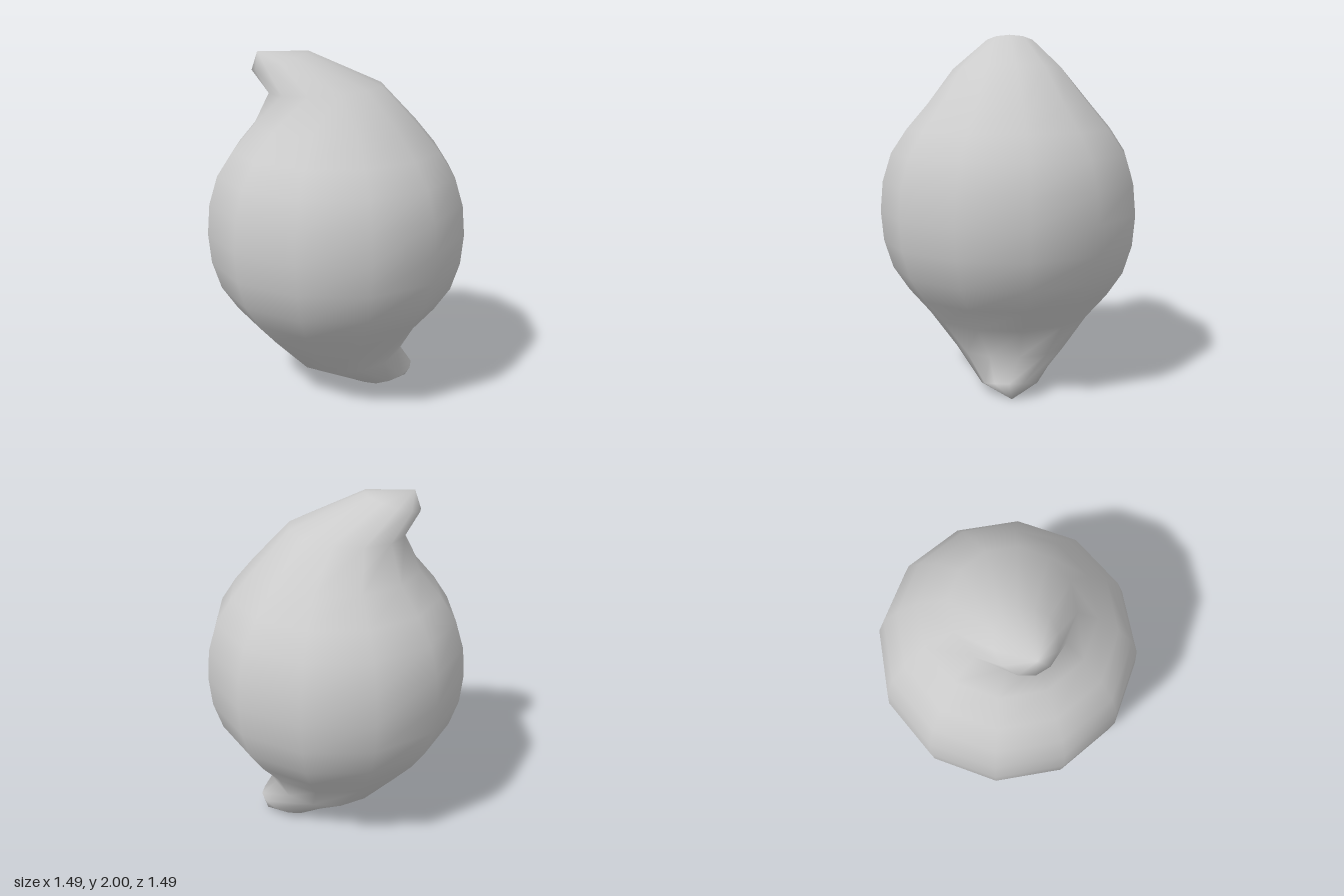
import * as THREE from 'three';

const SIDES = 12;

// Upper cross-sections from the equator to the bent tip:
// centre x, y, z, radius, tilt (height change across the radius), twist
const UPPER = [
  [0, 1, 0, 0.745, 0, 0],
  [0, 1.17, 0, 0.73, 0, 0],
  [0, 1.33, 0, 0.68, 0, 0],
  [0, 1.465, 0, 0.59, 0, 0],
  [0, 1.605, 0, 0.47, 0, 0],
  [-0.06, 1.8, 0, 0.32, 0.02, 0],
  [-0.305, 1.95, -0.045, 0.157, 0.05, 0.16],
];
const TIP = new THREE.Vector3(-0.43, 2, -0.05);

function ringPoints([cx, cy, cz, r, tilt, twist]) {
  return Array.from({ length: SIDES }, (_, i) => {
    const a = (i / SIDES) * Math.PI * 2;
    return new THREE.Vector3(
      cx + r * Math.cos(a + twist),
      cy + tilt * Math.cos(a),
      cz + r * Math.sin(a + twist)
    );
  });
}

// Point reflection through the body's centre
const opposite = (p) => new THREE.Vector3(-p.x, 2 - p.y, -p.z);

function bodyGeometry() {
  const upper = UPPER.map(ringPoints);
  // The lower half is the upper half reflected, with matching vertex order
  const lower = upper.slice(1).reverse().map((ring) =>
    ring.map((_, i) => opposite(ring[(i + SIDES / 2) % SIDES])));
  const rings = [...lower, ...upper];
  const points = [...rings.flat(), opposite(TIP), TIP];
  const bottom = points.length - 2;
  const top = points.length - 1;
  const last = (rings.length - 1) * SIDES;

  const index = [];
  for (let i = 0; i < SIDES; i++) {
    const j = (i + 1) % SIDES;
    for (let k = 0; k < last; k += SIDES) {
      index.push(k + i, k + SIDES + i, k + j);
      index.push(k + j, k + SIDES + i, k + SIDES + j);
    }
    // Closed tips
    index.push(bottom, i, j);
    index.push(top, last + j, last + i);
  }

  const geometry = new THREE.BufferGeometry().setFromPoints(points);
  geometry.setIndex(index);
  geometry.computeVertexNormals();
  return geometry;
}

export function createModel() {
  const group = new THREE.Group();
  group.name = 'twistedPod';
  const body = new THREE.Mesh(
    bodyGeometry(),
    new THREE.MeshStandardMaterial({ color: 0xcccccc })
  );
  body.name = 'podBody';
  group.add(body);
  return group;
}
